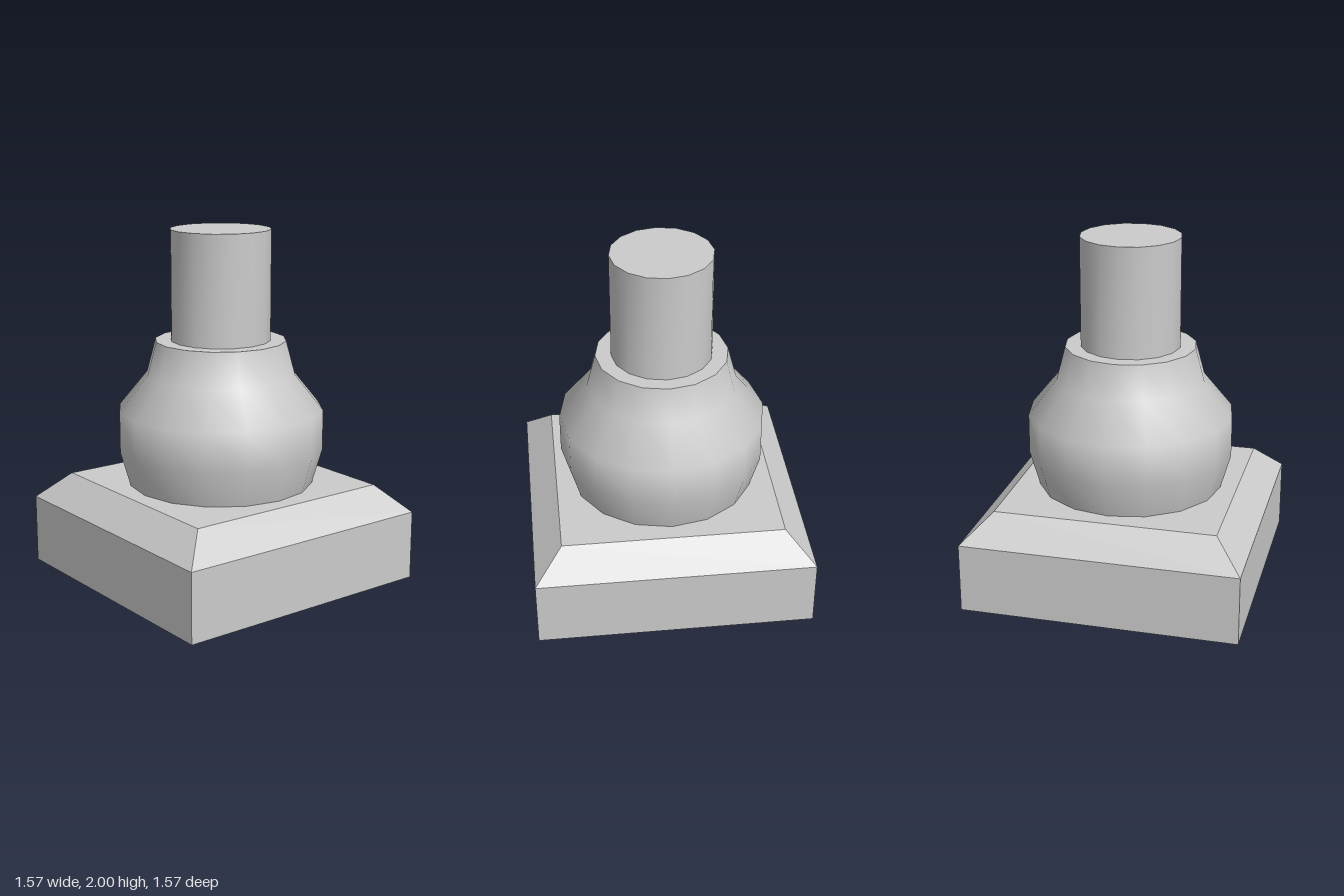
import * as THREE from 'three';
import { toCreasedNormals } from 'three/addons/utils/BufferGeometryUtils.js';

const SIDES = 16;

function turned(name, profile, sides, material) {
  const points = profile.map(([r, y]) => new THREE.Vector2(r, y));
  const mesh = new THREE.Mesh(new THREE.LatheGeometry(points, sides), material);
  mesh.name = name;
  return mesh;
}

export function createModel() {
  const group = new THREE.Group();
  group.name = 'pedestal';
  const smooth = new THREE.MeshStandardMaterial({ color: 0xcccccc });
  const flat = new THREE.MeshStandardMaterial({ color: 0xcccccc, flatShading: true });

  // Square plinth with a chamfered top edge: a four-sided turning
  const corner = Math.SQRT2;
  const plinth = turned('plinth', [
    [0, 0], [0.783 * corner, 0], [0.783 * corner, 0.395], [0.625 * corner, 0.55], [0, 0.55],
  ], 4, flat);
  plinth.geometry.rotateY(Math.PI / 4);

  // Bulbous body, smooth around its side
  const body = turned('body', [
    [0.53, 0.55], [0.587, 0.75], [0.587, 0.98], [0.425, 1.18], [0.373, 1.375],
  ], SIDES, smooth);

  // Flat shoulder closing the body
  const shoulder = new THREE.Mesh(new THREE.CircleGeometry(0.373, SIDES).rotateX(-Math.PI / 2), smooth);
  shoulder.name = 'shoulder';
  shoulder.position.y = 1.375;

  // Round post with a sharp top rim
  const post = new THREE.Mesh(
    toCreasedNormals(new THREE.CylinderGeometry(0.284, 0.284, 0.625, SIDES), Math.PI / 4), smooth);
  post.name = 'post';
  post.position.y = 1.375 + 0.625 / 2;

  group.add(plinth, body, shoulder, post);
  return group;
}
